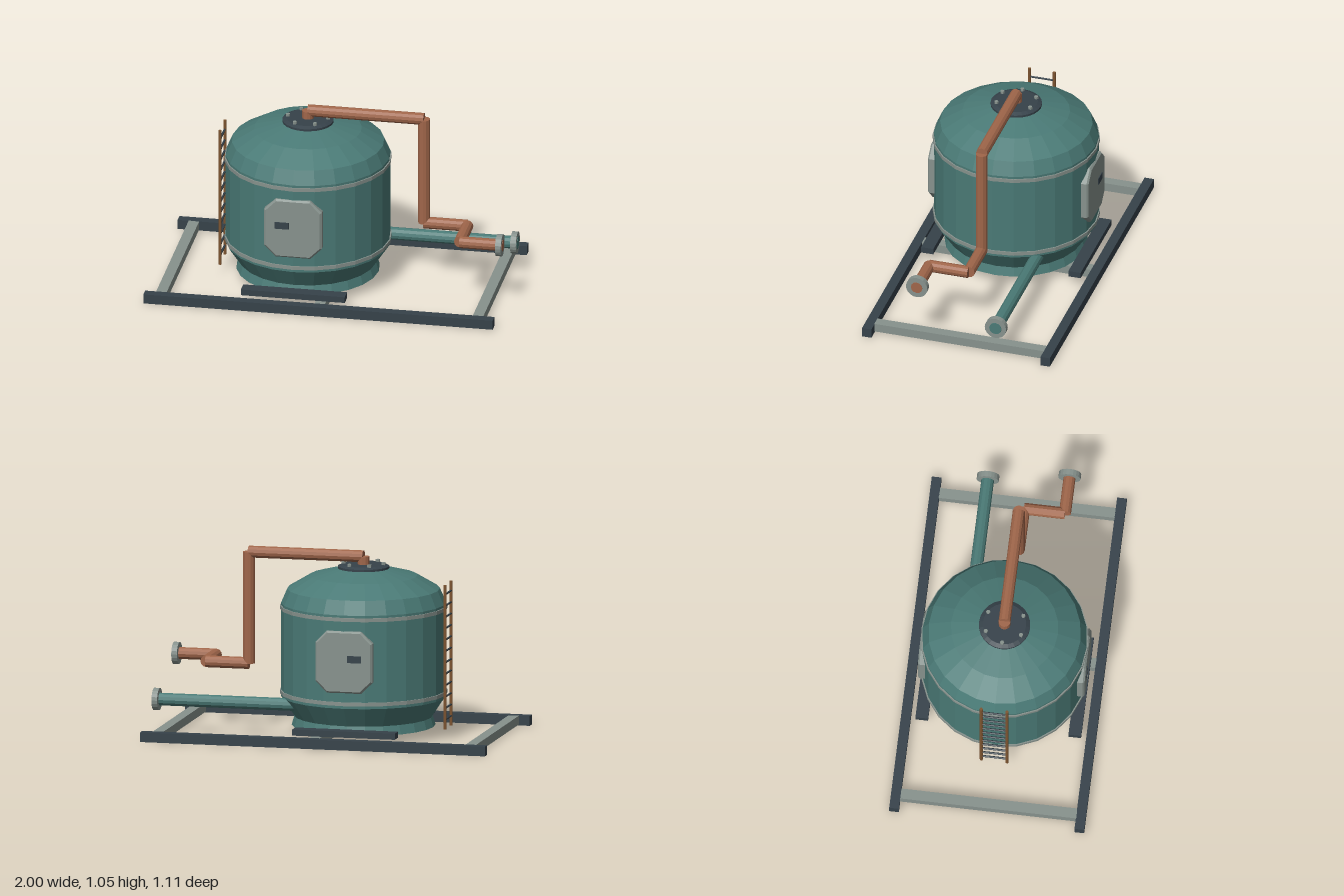
import * as THREE from 'three';

const mat = (name, color) => {
  const m = new THREE.MeshStandardMaterial({ color, flatShading: true });
  m.name = name;
  return m;
};

export function createModel() {
  const teal = mat('tank teal', 0x4a7a76);
  const copper = mat('copper', 0xa0664a);
  const grey = mat('light steel', 0x87928d);
  const dark = mat('dark steel', 0x36424a);
  const brown = mat('ladder brown', 0x7d5430);

  const model = new THREE.Group();
  model.name = 'skidMountedTank';
  const TX = -0.16; // tank axis

  const add = (name, geometry, material, x = 0, y = 0, z = 0, parent = model) => {
    const mesh = new THREE.Mesh(geometry, material);
    mesh.name = name;
    mesh.position.set(x, y, z);
    parent.add(mesh);
    return mesh;
  };
  const box = (name, m, w, h, d, x, y, z) =>
    add(name, new THREE.BoxGeometry(w, h, d), m, x, y, z);
  const lathe = (name, m, points, seg = 24) =>
    add(name, new THREE.LatheGeometry(points.map(p => new THREE.Vector2(...p)), seg), m, TX, 0, 0);
  // straight round bar between two points
  const rod = (name, m, a, b, r, seg = 12) => {
    const p = new THREE.Vector3(...a), q = new THREE.Vector3(...b);
    const dir = q.clone().sub(p);
    const mesh = add(name, new THREE.CylinderGeometry(r, r, dir.length(), seg), m);
    mesh.position.copy(p).add(q).multiplyScalar(0.5);
    mesh.quaternion.setFromUnitVectors(new THREE.Vector3(0, 1, 0), dir.normalize());
    return mesh;
  };

  // base frame
  for (const s of [1, -1]) {
    box('sideRail', dark, 2, 0.055, 0.055, 0, 0.0275, s * 0.5255);
    box('supportBlock', dark, 0.595, 0.035, 0.072, TX, 0.076, s * 0.434);
  }
  for (const x of [-0.907, 0, 0.907]) box('crossBeam', grey, 0.06, 0.05, 1.0, x, 0.03, 0);

  // tank shell with skirt and domed top
  lathe('tankShell', teal, [
    [0, 0.058], [0.405, 0.058], [0.39, 0.11], [0.465, 0.222], [0.465, 0.755],
    [0.43, 0.835], [0.303, 0.91], [0.14, 0.952], [0, 0.96],
  ]);
  for (const y of [0.249, 0.731]) {
    lathe('tankBand', grey, [
      [0.455, y - 0.0105], [0.472, y - 0.0105], [0.472, y + 0.0105], [0.455, y + 0.0105],
    ]);
  }

  // bolted lid
  lathe('lid', dark, [[0.12, 0.946], [0.145, 0.948], [0.145, 0.963], [0.122, 0.973], [0, 0.973]]);
  for (let i = 0; i < 6; i++) {
    const a = i * Math.PI / 3;
    add('lidBolt', new THREE.CylinderGeometry(0.012, 0.012, 0.03, 6), grey,
      TX + Math.cos(a) * 0.115, 0.972, Math.sin(a) * 0.115);
  }

  // octagonal access hatches, front and back
  const W = 0.155, H = 0.167, C = 0.06, B = 0.01;
  const octagon = new THREE.Shape([
    [W, -H + C], [W, H - C], [W - C, H], [-W + C, H],
    [-W, H - C], [-W, -H + C], [-W + C, -H], [W - C, -H],
  ].map(p => new THREE.Vector2(...p)));
  const hatchGeometry = new THREE.ExtrudeGeometry(octagon, {
    depth: 0.05, bevelEnabled: true, bevelThickness: B, bevelSize: B, bevelSegments: 1,
  });
  for (const s of [1, -1]) {
    const hatch = add('hatch', hatchGeometry, grey, TX, 0.488, s * 0.413);
    if (s < 0) hatch.rotation.y = Math.PI;
    box('hatchHandle', dark, 0.08, 0.04, 0.012, -0.222, 0.507, s * 0.471);
  }

  // pipes
  const route = [
    [TX, 0.95, 0], [TX, 1.017, 0], [0.505, 1.017, 0], [0.505, 0.38, 0],
    [0.753, 0.38, 0], [0.753, 0.38, 0.232], [1, 0.38, 0.232],
  ];
  for (let i = 1; i < route.length; i++) rod('outletPipe', copper, route[i - 1], route[i], 0.034);
  rod('inletPipe', teal, [0.1, 0.194, -0.232], [1, 0.194, -0.232], 0.036);
  rod('outletFlange', grey, [0.965, 0.38, 0.232], [0.998, 0.38, 0.232], 0.063, 20);
  rod('inletFlange', grey, [0.965, 0.194, -0.232], [0.998, 0.194, -0.232], 0.063, 20);

  // ladder
  const LX = -0.65, LZ = 0.073;
  for (const s of [1, -1]) rod('ladderPost', brown, [LX, 0.06, s * LZ], [LX, 0.885, s * LZ], 0.009, 8);
  for (let i = 0; i < 12; i++) {
    const y = 0.115 + i * 0.065;
    rod('ladderRung', dark, [LX, y, -LZ], [LX, y, LZ], 0.006, 6);
  }

  return model;
}
